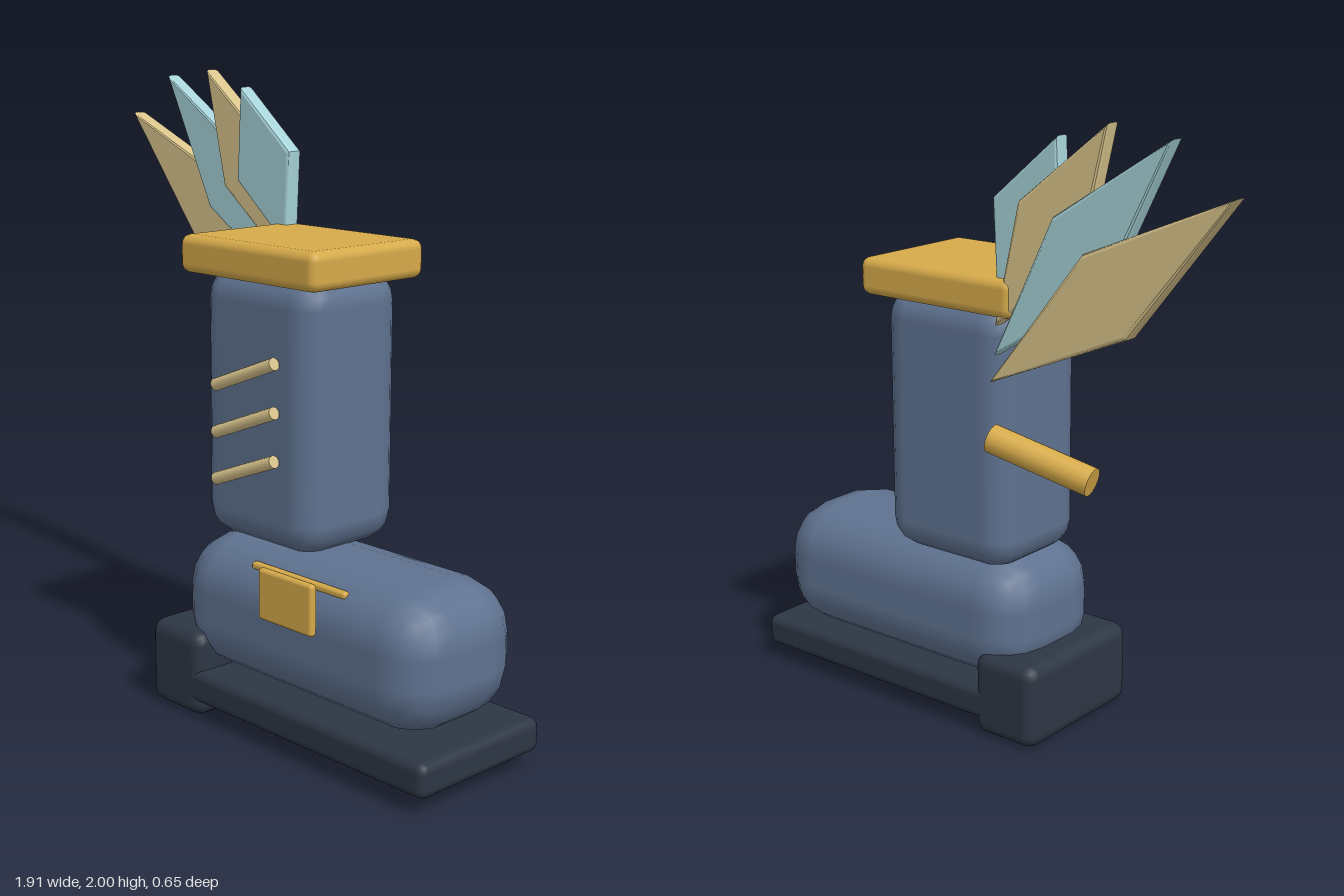
import * as THREE from 'three';
import { RoundedBoxGeometry } from 'three/addons/geometries/RoundedBoxGeometry.js';

const material = (name, color) => {
  const m = new THREE.MeshStandardMaterial({ color });
  m.name = name;
  return m;
};

export function createModel() {
  const model = new THREE.Group();
  model.name = 'wingedBoot';

  const blue = material('slate blue', 0x5f7290);
  const dark = material('dark navy', 0x2d3644);
  const gold = material('gold', 0xd6aa4a);
  const tan = material('tan', 0xd9c48c);
  const teal = material('pale teal', 0xa6d3d8);

  const add = (name, geometry, mat, parent = model) => {
    const mesh = new THREE.Mesh(geometry, mat);
    mesh.name = name;
    parent.add(mesh);
    return mesh;
  };

  // Rounded block given by its extents on each axis
  const block = (name, mat, [x0, x1], [y0, y1], [z0, z1], radius, segments = 2) => {
    const mesh = add(name, new RoundedBoxGeometry(x1 - x0, y1 - y0, z1 - z0, segments, radius), mat);
    mesh.position.set((x0 + x1) / 2, (y0 + y1) / 2, (z0 + z1) / 2);
  };

  // Cylinder between two points
  const rod = (name, mat, a, b, radius, sides, parent = model) => {
    const start = new THREE.Vector3(...a);
    const end = new THREE.Vector3(...b);
    const mesh = add(name, new THREE.CylinderGeometry(radius, radius, start.distanceTo(end), sides), mat, parent);
    mesh.position.copy(start).add(end).multiplyScalar(0.5);
    mesh.quaternion.setFromUnitVectors(new THREE.Vector3(0, 1, 0), end.sub(start).normalize());
  };

  // Boot body
  block('shaft', blue, [-0.14, 0.365], [0.57, 1.43], [-0.235, 0.175], 0.1);
  block('foot', blue, [-0.16, 0.91], [0.155, 0.585], [-0.21, 0.28], 0.17);
  block('sole', dark, [-0.2, 0.955], [0.05, 0.158], [-0.215, 0.305], 0.03);
  block('heel', dark, [-0.24, 0.005], [0, 0.28], [-0.215, 0.305], 0.045);
  block('cuff', gold, [-0.19, 0.412], [1.4, 1.52], [-0.267, 0.207], 0.03);

  // Slanted laces
  const laces = new THREE.Group();
  laces.name = 'laces';
  model.add(laces);
  for (let i = 0; i < 3; i++) {
    const y = 1.12 - i * 0.15;
    rod('lace', tan, [-0.025, y - 0.052, 0.2], [0.24, y + 0.052, 0.2], 0.02, 12, laces);
  }

  // Buckle, its strap bar and the peg behind the shaft
  block('buckle', gold, [0.295, 0.525], [0.42, 0.58], [0.293, 0.32], 0.012);
  block('strapBar', gold, [0.175, 0.577], [0.528, 0.552], [0.21, 0.236], 0.01);
  rod('backPeg', gold, [-0.14, 1.04, -0.285], [-0.467, 0.953, -0.222], 0.045, 16);

  // Wing of four overlapping parallelogram feathers: tip, lower corner, base
  const wing = new THREE.Group();
  wing.name = 'wing';
  model.add(wing);
  const feathers = [
    [[-0.96, 1.84], [-0.625, 1.415], [-0.13, 1.21]],
    [[-0.748, 1.975], [-0.535, 1.54], [-0.135, 1.29]],
    [[-0.527, 2.0], [-0.44, 1.62], [-0.125, 1.375]],
    [[-0.34, 1.95], [-0.357, 1.645], [-0.122, 1.45]],
  ];
  const bevel = 0.012;
  const thickness = 0.055;
  feathers.forEach(([tip, low, base], i) => {
    const upper = [tip[0] + base[0] - low[0], tip[1] + base[1] - low[1]];
    const shape = new THREE.Shape([tip, low, base, upper].map(p => new THREE.Vector2(...p)));
    const geometry = new THREE.ExtrudeGeometry(shape, {
      depth: thickness - 2 * bevel,
      bevelSize: bevel,
      bevelOffset: -bevel,
      bevelThickness: bevel,
      bevelSegments: 2,
    });
    const mesh = add('feather', geometry, i % 2 ? teal : tan, wing);
    mesh.position.z = -0.29 + bevel + i * 0.0167;
  });

  return model;
}
